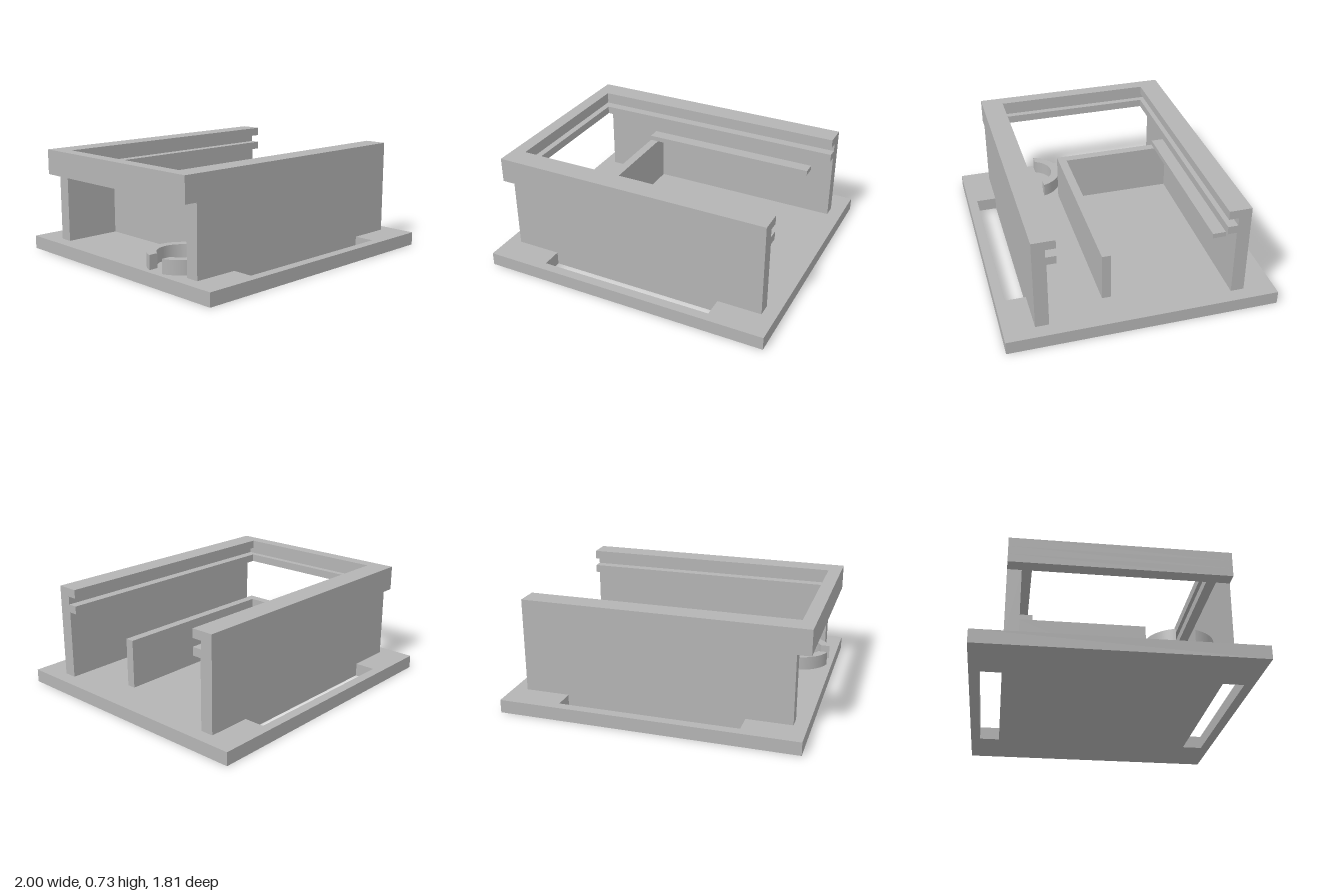
import * as THREE from 'three';

export function createModel() {
  const group = new THREE.Group();
  const grey = new THREE.MeshStandardMaterial({ color: 0xb4b4b4 });
  grey.name = 'grey plastic';

  function add(name, geometry) {
    const mesh = new THREE.Mesh(geometry, grey);
    mesh.name = name;
    group.add(mesh);
    return mesh;
  }
  const box = (name, x0, x1, y0, y1, z0, z1) =>
    add(name, new THREE.BoxGeometry(x1 - x0, y1 - y0, z1 - z0))
      .position.set((x0 + x1) / 2, (y0 + y1) / 2, (z0 + z1) / 2);

  // Plan outline (x, -z) raised from y0 to y1
  function slab(name, shape, y0, y1) {
    const geo = new THREE.ExtrudeGeometry(shape, { depth: y1 - y0, bevelEnabled: false, curveSegments: 32 });
    geo.rotateX(-Math.PI / 2);
    add(name, geo).position.y = y0;
  }
  const outline = (Type, pts) => new Type(pts.map(([x, y]) => new THREE.Vector2(x, y)));
  const rect = (Type, x0, x1, y0, y1) => outline(Type, [[x0, y0], [x1, y0], [x1, y1], [x0, y1]]);

  const floor = 0.09, back = -0.91, open = 0.905;

  // Base plate with two long slots
  const plate = rect(THREE.Shape, -1, 1, -0.905, 0.905);
  plate.holes.push(rect(THREE.Path, -0.605, 0.605, 0.70, 0.84));
  plate.holes.push(rect(THREE.Path, -0.605, 0.605, -0.84, -0.70));
  slab('basePlate', plate, 0, floor);

  // Side walls
  box('frontWall', back, open, floor, 0.56, 0.61, 0.70);
  box('backWall', back, open, floor, 0.56, -0.70, -0.61);

  // U-shaped top rim in three layers; the recessed middle one forms the lid groove
  const rim = (xi, zi) => outline(THREE.Shape, [
    [-1, -0.70], [open, -0.70], [open, -zi], [xi, -zi],
    [xi, zi], [open, zi], [open, 0.70], [-1, 0.70]]);
  slab('lowerRail', rim(back, 0.548), 0.56, 0.615);
  slab('lidGroove', rim(-0.955, 0.615), 0.615, 0.67);
  slab('upperRail', rim(back, 0.548), 0.67, 0.73);

  // Inner compartment: L-shaped partition and a support ledge on the back wall
  slab('partition', outline(THREE.Shape, [
    [-0.52, -0.225], [0.75, -0.225], [0.75, -0.165],
    [-0.46, -0.165], [-0.46, 0.61], [-0.52, 0.61]]), floor, 0.425);
  box('supportLedge', -0.52, 0.75, 0.425, 0.46, -0.61, -0.52);

  // Split ring holder: two arcs with straight-cut gaps
  const cx = -0.755, cy = -0.387, outer = 0.218, inner = 0.157, gap = 0.06;
  const a = Math.asin(gap / outer), b = Math.asin(gap / inner);
  [['ringBack', 0], ['ringFront', Math.PI]].forEach(([name, turn]) => {
    const arc = new THREE.Shape();
    arc.absarc(cx, cy, outer, turn + a, turn + Math.PI - a, false);
    arc.absarc(cx, cy, inner, turn + Math.PI - b, turn + b, true);
    arc.closePath();
    slab(name, arc, floor, 0.185);
  });

  return group;
}
